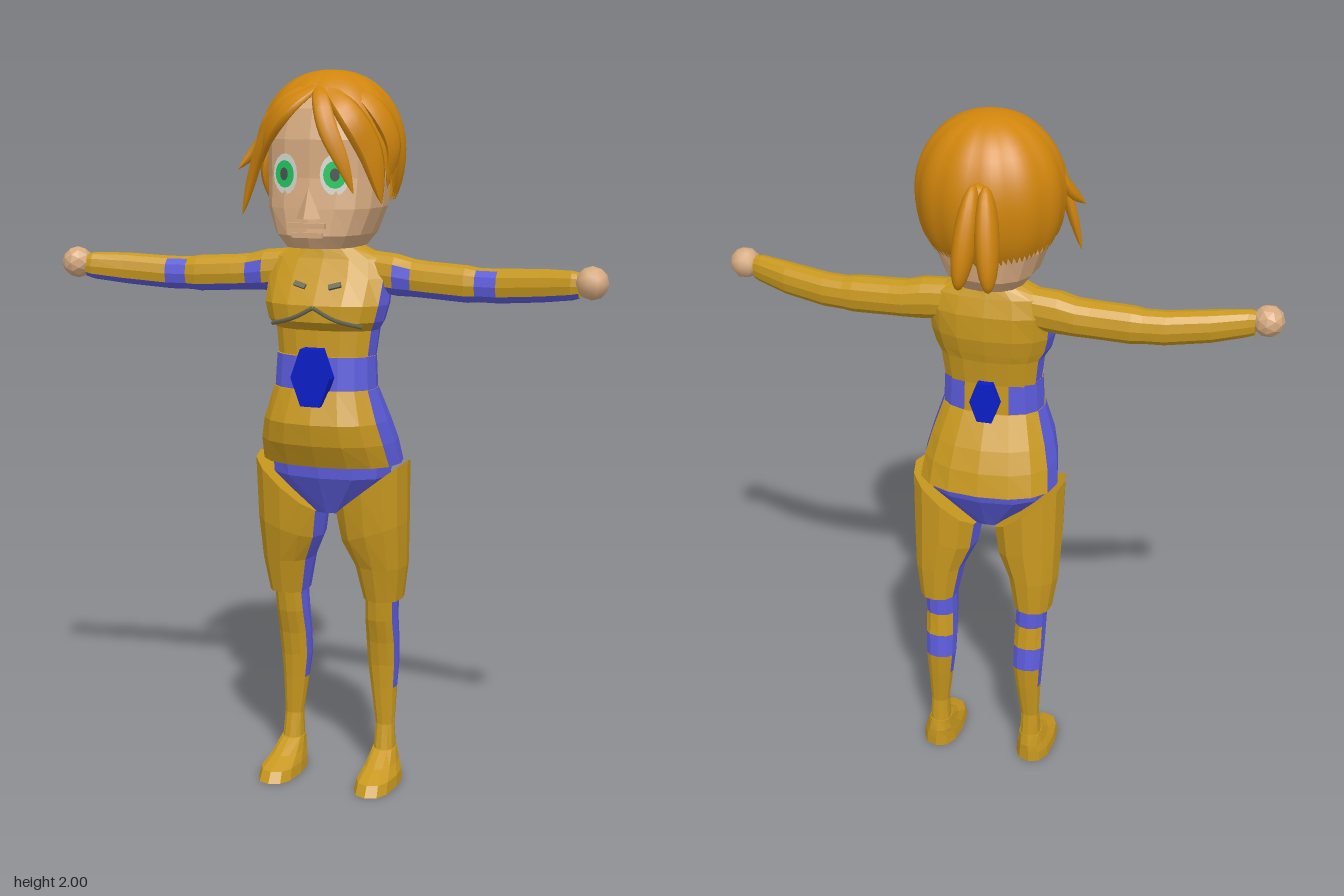
import * as THREE from 'three';

const mat = (name, color, side = THREE.FrontSide) => {
  const m = new THREE.MeshStandardMaterial({ color, side });
  m.name = name;
  return m;
};

export function createModel() {
  const root = new THREE.Group();
  const gold = mat('gold armour', 0xc8981f), blue = mat('blue suit', 0x5c5cdc);
  const skin = mat('skin', 0xd6aa80), hair = mat('hair', 0xd0850c, THREE.DoubleSide);
  const buckleBlue = mat('buckle blue', 0x0a1ec8), trim = mat('grey trim', 0x666650);
  const white = mat('eye white', 0xdcdcd4), green = mat('iris green', 0x22c860), dark = mat('pupil grey', 0x4a5550);

  const add = (name, geo, material, parent = root) => {
    const m = new THREE.Mesh(geo, material);
    m.name = name;
    parent.add(m);
    return m;
  };

  // Faceted loft through rings [y, centreX, halfX, zFront, zBack, tilt], listed from top to bottom.
  // pick(row, side) gives the material index of each panel; side 0 starts at the front and runs towards +x.
  function loft(rings, n, e = 0.85, pick = () => 0) {
    const pw = v => Math.sign(v) * Math.pow(Math.abs(v), e);
    const P = rings.map(([y, cx, hx, zf, zb, tilt = 0]) => Array.from({ length: n }, (_, j) => {
      const a = j / n * Math.PI * 2, sx = pw(Math.sin(a));
      return [cx + hx * sx, y + tilt * sx, (zf + zb) / 2 + (zf - zb) / 2 * pw(Math.cos(a))];
    }));
    const mid = ([y, cx, , zf, zb]) => [cx, y, (zf + zb) / 2];
    const sets = [[], []], last = P.length - 1;
    for (let j = 0; j < n; j++) {
      const k = (j + 1) % n;
      for (let i = 0; i < last; i++) {
        sets[pick(i, j)].push(P[i][j], P[i + 1][j], P[i + 1][k], P[i][j], P[i + 1][k], P[i][k]);
      }
      sets[0].push(mid(rings[0]), P[0][j], P[0][k]);
      sets[0].push(mid(rings[last]), P[last][k], P[last][j]);
    }
    const g = new THREE.BufferGeometry();
    g.setAttribute('position', new THREE.Float32BufferAttribute(sets.flat(2), 3));
    g.addGroup(0, sets[0].length, 0);
    if (sets[1].length) g.addGroup(sets[0].length, sets[1].length, 1);
    g.computeVertexNormals();
    return g;
  }

  // Mirror a faceted geometry across x, keeping its faces outward
  function mirror(src) {
    const g = src.clone(), p = g.attributes.position, a = new THREE.Vector3(), b = new THREE.Vector3();
    g.scale(-1, 1, 1);
    for (let i = 0; i < p.count; i += 3) {
      a.fromBufferAttribute(p, i + 1);
      b.fromBufferAttribute(p, i + 2);
      p.setXYZ(i + 1, b.x, b.y, b.z);
      p.setXYZ(i + 2, a.x, a.y, a.z);
    }
    g.computeVertexNormals();
    return g;
  }
  const pair = (name, geo, material) => {
    add('left' + name, geo, material);
    add('right' + name, mirror(geo), material);
  };
  const suit = [gold, blue];
  const flank = j => j === 3 || j === 4 || j === 11 || j === 12;

  // Torso, belt, hip plates and pelvis
  add('torso', loft([
    [1.555, 0, 0.06, 0.10, 0.02], [1.53, 0, 0.10, 0.11, 0], [1.50, 0, 0.165, 0.12, -0.01],
    [1.45, 0, 0.178, 0.15, -0.025], [1.38, 0, 0.175, 0.195, -0.025], [1.335, 0, 0.163, 0.195, -0.015],
    [1.31, 0, 0.147, 0.165, -0.008], [1.23, 0, 0.137, 0.167, 0.003],
  ], 16, 0.85, (i, j) => (i > 2 && flank(j) ? 1 : 0)), suit);
  add('belt', loft([[1.24, 0, 0.14, 0.178, 0.002], [1.14, 0, 0.145, 0.187, 0]], 16, 0.85,
    (i, j) => (j === 7 || j === 8 ? 0 : 1)), suit);
  add('hipPlates', loft([
    [1.15, 0, 0.146, 0.195, -0.004], [1.06, 0, 0.175, 0.224, -0.055],
    [1.0, 0, 0.19, 0.212, -0.08], [0.935, 0, 0.198, 0.175, -0.095],
  ], 16, 0.85, (i, j) => (flank(j) ? 1 : 0)), suit);
  add('pelvis', loft([[0.97, 0, 0.175, 0.165, -0.08], [0.9, 0, 0.17, 0.158, -0.065], [0.79, 0, 0.05, 0.1, 0]], 12), blue);

  // Hexagonal buckles at front and back
  for (const [name, s, y, z] of [['frontBuckle', 1, 1.188, 0.2], ['backBuckle', 0.75, 1.19, 0]]) {
    const g = new THREE.CylinderGeometry(1, 1, 0.04, 6).rotateY(Math.PI / 6).rotateX(Math.PI / 2).toNonIndexed();
    g.scale(0.056 * s, 0.09 * s, 1);
    g.computeVertexNormals();
    add(name, g, buckleBlue).position.set(0, y, z);
  }

  // Chest trim
  for (const s of [1, -1]) {
    const arc = new THREE.CatmullRomCurve3([[0, 1.375, 0.195], [0.06, 1.345, 0.193], [0.13, 1.325, 0.165]]
      .map(([x, y, z]) => new THREE.Vector3(x * s, y, z)));
    add('chestTrim', new THREE.TubeGeometry(arc, 8, 0.006, 5), trim);
    const mark = add('chestMark', new THREE.BoxGeometry(0.035, 0.014, 0.008), trim);
    mark.position.set(0.05 * s, 1.432, 0.163);
    mark.rotation.set(-0.57, 0, 0.3 * s);
  }

  // Legs: slanted thigh armour, shin and foot
  const innerBlue = j => j === 8 || j === 9;
  pair('Thigh', loft([
    [0.865, 0.12, 0.10, 0.15, -0.06, 0.08], [0.74, 0.125, 0.092, 0.135, -0.06, 0.03],
    [0.64, 0.139, 0.072, 0.105, -0.058], [0.54, 0.142, 0.054, 0.08, -0.053],
  ], 12, 0.85, (i, j) => (innerBlue(j) ? 1 : 0)), suit);
  pair('Shin', loft([
    [0.56, 0.138, 0.044, 0.075, -0.04], [0.48, 0.135, 0.045, 0.063, -0.04], [0.41, 0.134, 0.046, 0.042, -0.047],
    [0.34, 0.133, 0.044, 0.03, -0.055], [0.27, 0.135, 0.037, 0.024, -0.046],
    [0.16, 0.14, 0.027, 0.018, -0.03], [0.08, 0.141, 0.031, 0.035, -0.037],
  ], 12, 0.85, (i, j) => {
    if (i > 3) return 0;
    const back = j > 3 && j < 8;
    return back && (i === 1 || i === 3) ? 0 : j > 1 && j < 10 ? 1 : 0;
  }), suit);
  pair('Foot', loft([
    [0.09, 0.141, 0.033, 0.04, -0.038], [0.055, 0.143, 0.042, 0.1, -0.045],
    [0.03, 0.146, 0.052, 0.165, -0.046], [0, 0.146, 0.055, 0.183, -0.046],
  ], 12, 0.8), gold);

  // Arms: lofted upright from wrist to shoulder, then laid along +x
  const arm = loft([
    [0.71, -1.457, 0.033, 0.152, 0.1], [0.69, -1.456, 0.038, 0.154, 0.09], [0.6, -1.449, 0.044, 0.135, 0.052],
    [0.48, -1.44, 0.046, 0.113, 0.025], [0.42, -1.44, 0.046, 0.108, 0.018], [0.39, -1.441, 0.05, 0.112, 0.012],
    [0.28, -1.447, 0.05, 0.108, 0.004], [0.24, -1.45, 0.051, 0.105, 0], [0.19, -1.457, 0.057, 0.108, 0],
    [0.11, -1.465, 0.056, 0.1, 0],
  ], 12, 0.85, (i, j) => {
    if (j > 0 && j < 4) return 1;
    return (i === 3 && (j === 0 || j > 9)) || (i === 7 && (j === 0 || j === 11)) ? 1 : 0;
  }).rotateZ(-Math.PI / 2);
  pair('Arm', arm, suit);
  const hand = new THREE.IcosahedronGeometry(0.044, 1);
  hand.translate(0.742, 1.465, 0.13);
  pair('Hand', hand, skin);

  // Head, nose and lips
  add('head', loft([
    [1.95, 0, 0.1, 0.15, -0.01], [1.9, 0, 0.14, 0.195, -0.05], [1.82, 0, 0.162, 0.215, -0.08],
    [1.72, 0, 0.16, 0.215, -0.08], [1.64, 0, 0.155, 0.228, -0.075],
    [1.57, 0, 0.128, 0.236, -0.065], [1.535, 0, 0.1, 0.215, -0.04],
  ], 16, 0.8), skin);
  add('neck', new THREE.CylinderGeometry(0.055, 0.06, 0.08, 10), skin).position.set(0, 1.55, 0.055);
  const nose = new THREE.ConeGeometry(0.035, 0.08, 4).toNonIndexed();
  nose.computeVertexNormals();
  add('nose', nose, skin).position.set(0, 1.655, 0.225);
  add('upperLip', new THREE.BoxGeometry(0.1, 0.014, 0.016), skin).position.set(0, 1.597, 0.232);
  add('lowerLip', new THREE.BoxGeometry(0.085, 0.014, 0.014), skin).position.set(0, 1.572, 0.232);

  // Eyes as thin stacked discs
  for (const s of [1, -1]) {
    const eye = new THREE.Group();
    eye.name = s > 0 ? 'leftEye' : 'rightEye';
    eye.position.set(0.07 * s, 1.73, 0.212);
    eye.rotation.y = 0.3 * s;
    root.add(eye);
    for (const [name, m, rx, ry, z] of [['eyeWhite', white, 0.04, 0.054, 0], ['iris', green, 0.031, 0.036, 0.003], ['pupil', dark, 0.013, 0.017, 0.006]]) {
      const d = add(name, new THREE.CircleGeometry(1, 16), m, eye);
      d.scale.set(rx, ry, 1);
      d.position.z = z;
    }
  }

  // Hair cap: grooved dome whose lower edge rises over the face
  const edge = [[0, 1.93], [20, 1.9], [40, 1.84], [60, 1.74], [90, 1.66], [130, 1.64], [180, 1.625]];
  const edgeY = d => {
    const k = Math.max(1, edge.findIndex(p => p[0] >= d));
    const [a, b] = [edge[k - 1], edge[k]];
    return THREE.MathUtils.lerp(a[1], b[1], (d - a[0]) / (b[0] - a[0]));
  };
  const cap = new THREE.SphereGeometry(1, 72, 16), cp = cap.attributes.position;
  for (let i = 0; i <= 16; i++) {
    for (let j = 0; j <= 72; j++) {
      const a = j / 72 * Math.PI * 2, deg = Math.min(j, 72 - j) * 5;
      const phi = i / 16 * Math.acos((edgeY(deg) - 1.79) / 0.21);
      const r = Math.pow(Math.sin(phi), phi > Math.PI / 2 ? 0.6 : 0.9) * (0.975 + 0.03 * Math.abs(Math.sin(a * 6)));
      cp.setXYZ(i * 73 + j, 0.2 * r * Math.sin(a), 1.79 + 0.21 * Math.cos(phi), 0.05 + 0.19 * r * Math.cos(a));
    }
  }
  cap.computeVertexNormals();
  add('hairCap', cap, hair);

  // Tapered, flattened locks that follow the head
  const centre = new THREE.Vector3(0, 1.78, 0.05);
  function lock(points, width) {
    const curve = new THREE.CatmullRomCurve3(points.map(p => new THREE.Vector3(...p)));
    const g = new THREE.TubeGeometry(curve, 16, 1, 8), p = g.attributes.position, o = new THREE.Vector3();
    for (let i = 0; i <= 16; i++) {
      const c = curve.getPointAt(i / 16), out = c.clone().sub(centre).normalize();
      const r = width * Math.pow(Math.max(0, Math.sin(Math.PI * (0.1 + 0.9 * i / 16))), 0.8);
      for (let j = 0; j <= 8; j++) {
        o.fromBufferAttribute(p, i * 9 + j).sub(c);
        o.addScaledVector(out, -0.6 * o.dot(out)).multiplyScalar(r).add(c);
        p.setXYZ(i * 9 + j, o.x, o.y, o.z);
      }
    }
    g.computeVertexNormals();
    add('hairLock', g, hair);
  }
  lock([[0, 1.965, 0.14], [-0.08, 1.92, 0.185], [-0.155, 1.82, 0.155], [-0.2, 1.72, 0.13], [-0.232, 1.61, 0.13]], 0.036);
  lock([[0, 1.955, 0.17], [-0.06, 1.905, 0.21], [-0.125, 1.83, 0.19], [-0.165, 1.75, 0.15]], 0.034);
  lock([[-0.05, 1.96, 0.1], [-0.15, 1.88, 0.12], [-0.195, 1.8, 0.1], [-0.235, 1.735, 0.15]], 0.035);
  lock([[-0.16, 1.8, 0.11], [-0.175, 1.73, 0.1], [-0.17, 1.66, 0.09]], 0.03);
  lock([[0, 1.96, 0.15], [0.03, 1.925, 0.215], [0.06, 1.85, 0.24], [0.1, 1.76, 0.235], [0.125, 1.68, 0.22]], 0.026);
  lock([[0.03, 1.955, 0.16], [0.1, 1.89, 0.195], [0.15, 1.79, 0.165], [0.175, 1.65, 0.14]], 0.042);
  lock([[0.04, 1.97, 0.1], [0.14, 1.91, 0.12], [0.19, 1.81, 0.1], [0.175, 1.69, 0.1]], 0.04);

  // Two-lobed ponytail and its knot
  for (const [x, lean] of [[-0.058, -0.1], [-0.002, 0.08]]) {
    const tail = add('ponytail', new THREE.SphereGeometry(1, 16, 12), hair);
    tail.scale.set(0.031, 0.135, 0.046);
    tail.position.set(x, 1.75, -0.2);
    tail.rotation.set(0.28, 0, lean);
  }
  const knot = add('hairKnot', new THREE.SphereGeometry(0.03, 12, 8), hair);
  knot.position.set(-0.02, 1.845, -0.145);

  return root;
}
